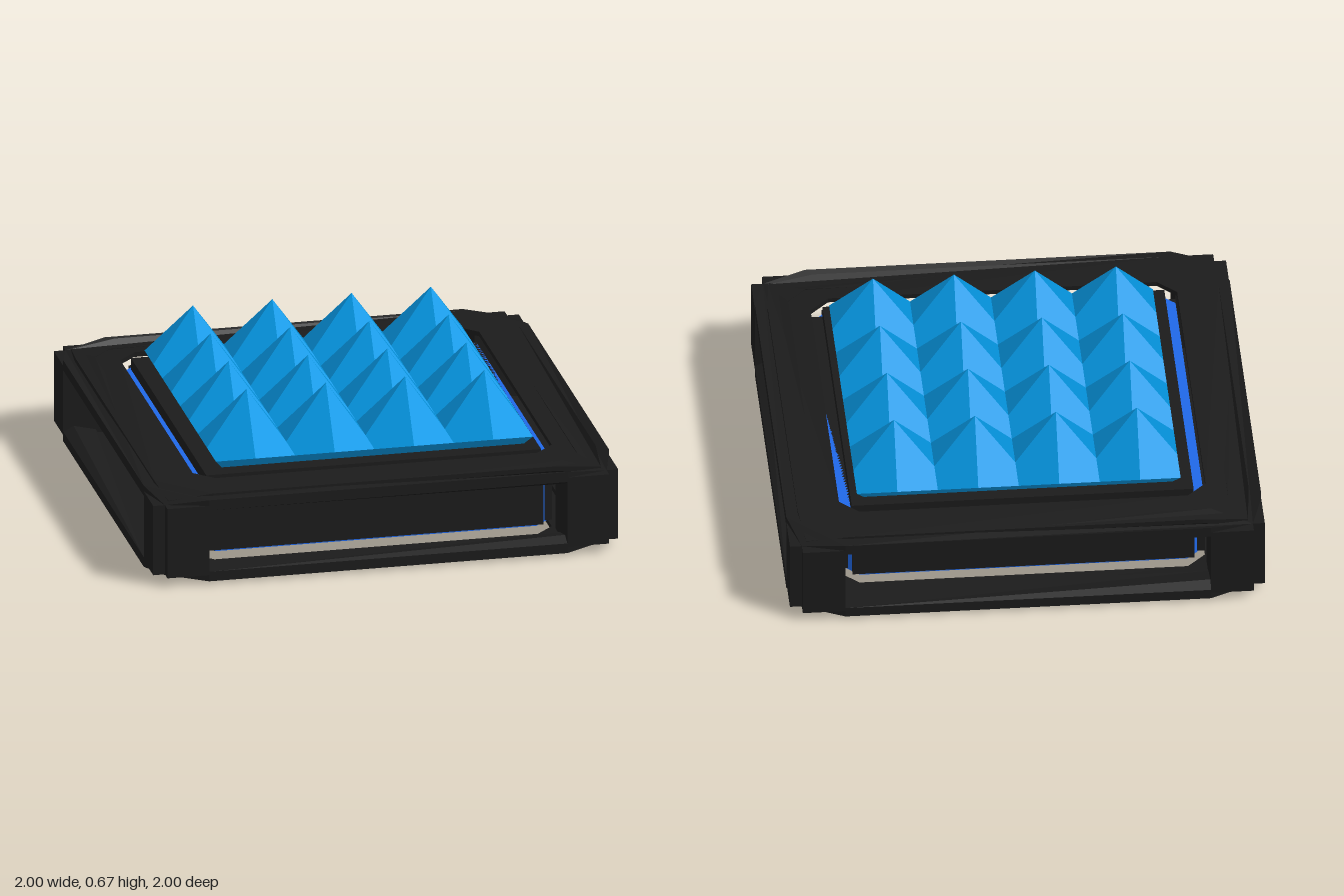
import * as THREE from 'three';

const paint = (color) => new THREE.MeshStandardMaterial({ color });

// Four-way symmetric outline from the points of its +x +z quarter.
function outline(quarter) {
  const pts = [];
  for (let k = 0; k < 4; k++) {
    const c = Math.round(Math.cos(k * Math.PI / 2)), s = Math.round(Math.sin(k * Math.PI / 2));
    for (const [x, z] of quarter) pts.push(new THREE.Vector2(c * x - s * z, s * x + c * z));
  }
  return pts;
}

// Flat slab lying on the ground plane between heights y0 and y1, with an optional hole.
function slab(outer, y0, y1, hole) {
  const shape = new THREE.Shape(outline(outer));
  if (hole) shape.holes.push(new THREE.Path(outline(hole)));
  const geo = new THREE.ExtrudeGeometry(shape, { depth: y1 - y0, bevelEnabled: false });
  return geo.rotateX(-Math.PI / 2).translate(0, y0, 0);
}

// Moves the outer corners of a frame ring by dy, so the ring slopes there.
function slopeCorners(geo, dy) {
  const p = geo.attributes.position;
  for (let i = 0; i < p.count; i++) {
    if (Math.min(Math.abs(p.getX(i)), Math.abs(p.getZ(i))) > 0.9) p.setY(i, p.getY(i) + dy);
  }
  geo.computeVertexNormals();
  return geo;
}

// Field of n x n pyramids; each quarter of a pyramid is shaded as one facet.
function spikeField(n, cell, y0, y1) {
  const pos = [], nor = [], a = cell / 2, h = y1 - y0;
  for (let i = 0; i < n; i++) for (let j = 0; j < n; j++) {
    const cx = (i - (n - 1) / 2) * cell, cz = (j - (n - 1) / 2) * cell;
    for (const sx of [-1, 1]) for (const sz of [-1, 1]) {
      const apex = [cx, y1, cz], corner = [cx + sx * a, y0, cz + sz * a];
      const midX = [cx + sx * a, y0, cz], midZ = [cx, y0, cz + sz * a];
      const tris = sx * sz > 0
        ? [apex, corner, midX, apex, midZ, corner]
        : [apex, midX, corner, apex, corner, midZ];
      const normal = new THREE.Vector3(sx * h, 2 * a, sz * h).normalize();
      for (const p of tris) { pos.push(...p); nor.push(...normal.toArray()); }
    }
  }
  const geo = new THREE.BufferGeometry();
  geo.setAttribute('position', new THREE.Float32BufferAttribute(pos, 3));
  geo.setAttribute('normal', new THREE.Float32BufferAttribute(nor, 3));
  return geo;
}

export function createModel() {
  const model = new THREE.Group();
  const dark = paint(0x1b1b1b), blue = paint(0x0599e6), glow = paint(0x2068e8);
  const add = (name, geo, mat, parent = model) => {
    const mesh = new THREE.Mesh(geo, mat);
    mesh.name = name;
    parent.add(mesh);
  };

  // Upper and lower frames: a faceted bar with a thin cover plate, sloping at the corners
  const bar = [[1, 0.77], [0.95, 0.95], [0.77, 1]];
  const barHole = [[0.86, 0.78], [0.78, 0.86]];
  const plate = [[0.95, 0.74], [0.93, 0.93], [0.74, 0.95]];
  const plateHole = [[0.772, 0.692], [0.692, 0.772]];
  add('lowerBar', slopeCorners(slab(bar, 0.012, 0.055, barHole), 0.025), dark);
  add('lowerPlate', slopeCorners(slab(plate, 0, 0.02, plateHole), 0.025), dark);
  add('upperBar', slopeCorners(slab(bar, 0.33, 0.375, barHole), -0.025), dark);
  add('upperPlate', slopeCorners(slab(plate, 0.365, 0.385, plateHole), -0.025), dark);

  // Corner posts, stepped at the outer corner
  for (const sx of [-1, 1]) for (const sz of [-1, 1]) {
    const post = new THREE.Group();
    post.name = 'cornerPost';
    const front = new THREE.BoxGeometry(0.18, 0.31, 0.23).translate(sx * 0.86, 0.195, sz * 0.885);
    const side = new THREE.BoxGeometry(0.23, 0.31, 0.18).translate(sx * 0.885, 0.195, sz * 0.86);
    add('postFront', front, dark, post);
    add('postSide', side, dark, post);
    model.add(post);
  }

  // Glowing body with cut corners, seen as a rim around the dark core
  add('glowBody', slab([[0.765, 0.69], [0.69, 0.765]], 0.055, 0.33), glow);
  add('coreTop', new THREE.BoxGeometry(1.44, 0.08, 1.44).translate(0, 0.34, 0), dark);
  add('coreBottom', slab([[0.74, 0.7], [0.7, 0.74]], 0.05, 0.1), dark);

  // Dark cover panels on the four sides of the glowing body
  for (let k = 0; k < 4; k++) {
    const panel = new THREE.BoxGeometry(1.44, 0.27, 0.06).translate(0, 0.195, 0.737);
    add('sidePanel', panel.rotateY(k * Math.PI / 2).scale(1, 1, 1), dark);
  }

  // Spikes on a tapered base
  const spikes = new THREE.Group();
  spikes.name = 'spikes';
  spikes.position.set(0.014, 0, -0.01);
  add('spikeField', spikeField(4, 0.341, 0.42, 0.67), blue, spikes);
  const base = new THREE.CylinderGeometry(0.682 * Math.SQRT2, 0.65 * Math.SQRT2, 0.04, 4, 1, true)
    .rotateY(Math.PI / 4).translate(0, 0.4, 0).toNonIndexed();
  base.computeVertexNormals();
  add('spikeBase', base, blue, spikes);
  model.add(spikes);

  return model;
}
